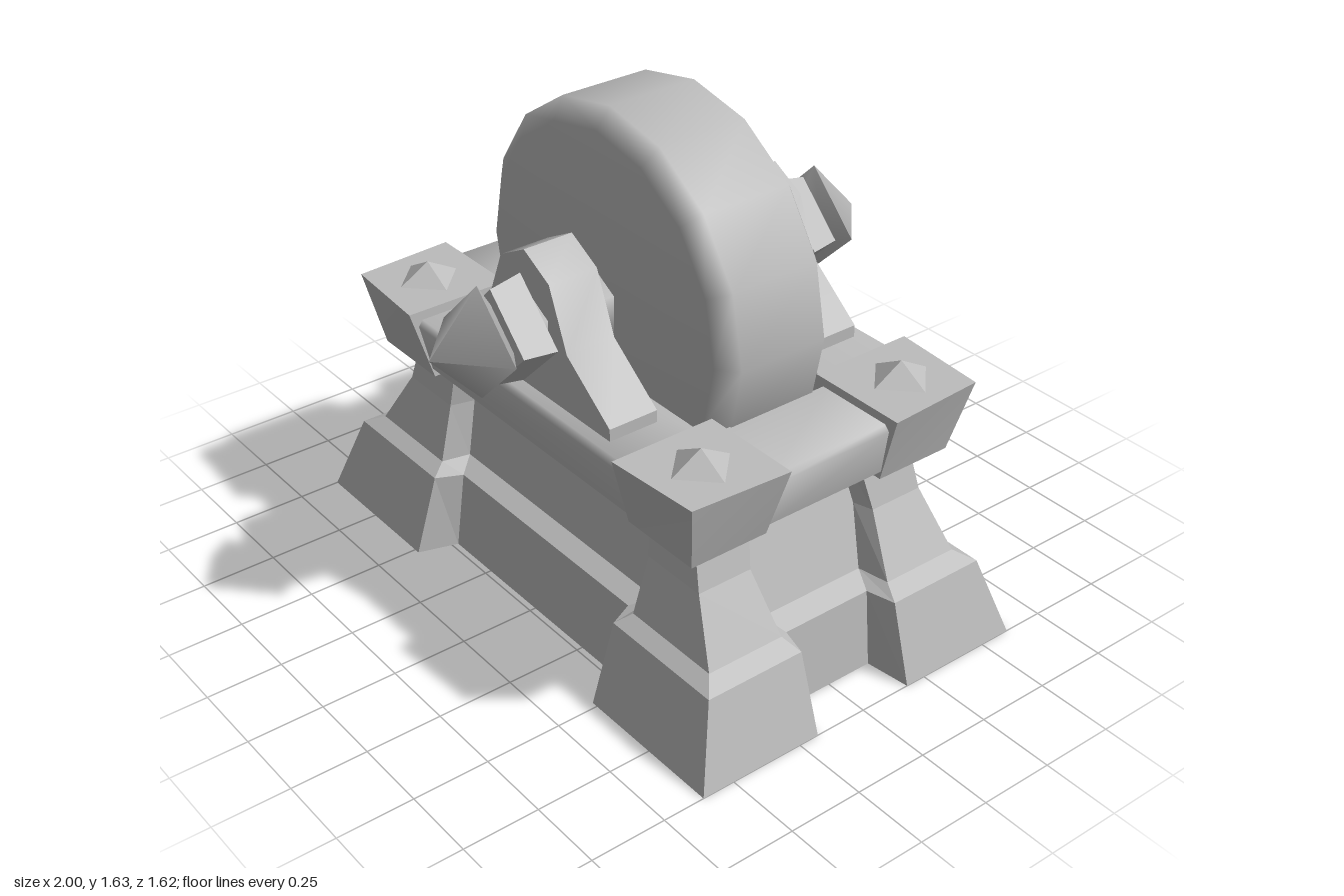
import * as THREE from 'three';
import { toCreasedNormals } from 'three/addons/utils/BufferGeometryUtils.js';

const stone = new THREE.MeshStandardMaterial({ color: 0xbcbcbc, side: THREE.DoubleSide });
stone.name = 'grey stone';

const AXLE_Y = 1.03;

function add(parent, name, geometry) {
  const mesh = new THREE.Mesh(geometry, stone);
  mesh.name = name;
  parent.add(mesh);
  return mesh;
}

// Outline of the base at one height: four projecting legs with recessed walls between
function baseRing({ y, leg, inner, wall, join }) {
  const corner = [
    [wall[0], join[1]], [leg[0], inner[1]], [leg[0], leg[1]], [inner[0], leg[1]], [join[0], wall[1]],
  ];
  const back = [...corner].reverse();
  return [[1, 1, corner], [-1, 1, back], [-1, -1, corner], [1, -1, back]]
    .flatMap(([sx, sz, pts]) => pts.map(([x, z]) => [x * sx, y, z * sz]));
}

// Flat-faced skin between successive rings
function loft(rings) {
  const pos = [];
  for (let r = 0; r < rings.length - 1; r++) {
    const n = rings[r].length;
    for (let i = 0; i < n; i++) {
      const j = (i + 1) % n;
      const a = rings[r][i], b = rings[r][j], c = rings[r + 1][j], d = rings[r + 1][i];
      pos.push(...a, ...d, ...c, ...a, ...c, ...b);
    }
  }
  const g = new THREE.BufferGeometry();
  g.setAttribute('position', new THREE.Float32BufferAttribute(pos, 3));
  g.computeVertexNormals();
  return g;
}

// Corner block that flares outward toward its top, its outermost corner drawn in a little
function capGeometry(sx, sz) {
  const g = new THREE.BoxGeometry(1, 1, 1);
  const p = g.attributes.position;
  for (let i = 0; i < p.count; i++) {
    const top = p.getY(i) > 0;
    const outX = p.getX(i) * sx > 0, outZ = p.getZ(i) * sz > 0;
    const x = outX ? (top ? (outZ ? 0.845 : 0.865) : 0.79) : (top ? 0.52 : 0.505);
    const z = outZ ? (top ? (outX ? 0.537 : 0.56) : 0.49) : (top ? 0.2 : 0.22);
    p.setXYZ(i, x * sx, top ? 0.86 : 0.62, z * sz);
  }
  g.computeVertexNormals();
  return g;
}

// Rail with a softened upper outer edge; the profile faces +x
function railGeometry(inner, outer, length) {
  const s = new THREE.Shape([
    [inner, 0.65], [outer - 0.035, 0.65], [outer, 0.81], [outer - 0.015, 0.83], [inner, 0.83],
  ].map(([x, y]) => new THREE.Vector2(x, y)));
  const g = new THREE.ExtrudeGeometry(s, { depth: length, bevelEnabled: false });
  return toCreasedNormals(g.translate(0, 0, -length / 2), 1.15);
}

// Turned shape about the z axis from [radius, z] points
function turned(points, sides) {
  return new THREE.LatheGeometry(points.map(([r, z]) => new THREE.Vector2(r, z)), sides).rotateX(Math.PI / 2);
}

export function createModel() {
  const model = new THREE.Group();
  model.name = 'grindstone';

  // Hollow base: stepped plinth and curved legs
  add(model, 'base', loft([
    { y: 0, leg: [1, 0.61], inner: [0.48, 0.18], wall: [0.85, 0.48], join: [0.44, 0.16] },
    { y: 0.26, leg: [0.92, 0.53], inner: [0.48, 0.185], wall: [0.825, 0.445], join: [0.44, 0.16] },
    { y: 0.29, leg: [0.86, 0.48], inner: [0.51, 0.21], wall: [0.755, 0.385], join: [0.49, 0.19] },
    { y: 0.48, leg: [0.75, 0.43], inner: [0.52, 0.24], wall: [0.685, 0.35], join: [0.5, 0.22] },
    { y: 0.66, leg: [0.7, 0.41], inner: [0.5, 0.21], wall: [0.62, 0.315], join: [0.49, 0.2] },
  ].map(baseRing)));

  // Corner caps with pyramid studs
  for (const sx of [-1, 1]) for (const sz of [-1, 1]) {
    add(model, 'cornerCap', capGeometry(sx, sz));
    const stud = new THREE.ConeGeometry(0.105, 0.06, 4, 1, true).toNonIndexed();
    stud.computeVertexNormals();
    add(model, 'stud', stud).position.set(sx * 0.69, 0.89, sz * 0.38);
  }

  // Rails joining the caps
  for (const turn of [0, Math.PI]) {
    add(model, 'sideRail', railGeometry(0.55, 0.83, 0.46)).rotation.y = turn;
    add(model, 'longRail', railGeometry(0.24, 0.53, 1.06)).rotation.y = turn - Math.PI / 2;
  }

  // Wheel
  add(model, 'wheel', turned([
    [0, -0.24], [0.2, -0.237], [0.54, -0.205], [0.605, -0.155],
    [0.605, 0.155], [0.54, 0.205], [0.2, 0.237], [0, 0.24],
  ], 16)).position.set(-0.01, AXLE_Y, 0);

  // Axle
  add(model, 'axle', new THREE.CylinderGeometry(0.127, 0.127, 1.04, 6).rotateX(Math.PI / 2))
    .position.y = AXLE_Y;

  // Bracket, four-sided collar and spike at each end of the axle
  const bracketShape = new THREE.Shape([
    [-0.39, 0.82], [0.4, 0.82], [0.4, 0.87], [0.2, 1.02], [0.12, 1.215],
    [0, 1.28], [-0.12, 1.215], [-0.2, 1.02], [-0.39, 0.87],
  ].map(([x, y]) => new THREE.Vector2(x, y)));
  for (const turn of [0, Math.PI]) {
    const end = new THREE.Group();
    end.name = 'axleEnd';
    end.rotation.y = turn;
    model.add(end);
    const bracket = new THREE.ExtrudeGeometry(bracketShape, { depth: 0.17, bevelEnabled: false });
    add(end, 'bracket', toCreasedNormals(bracket, 0.8)).position.z = 0.305;
    const collar = new THREE.CylinderGeometry(0.16, 0.18, 0.105, 4).rotateX(Math.PI / 2).toNonIndexed();
    collar.computeVertexNormals();
    add(end, 'collar', collar).position.set(0, AXLE_Y, 0.543);
    add(end, 'spikeBack', turned([[0.1, 0.59], [0.187, 0.64]], 4)).position.y = AXLE_Y;
    add(end, 'spike', turned([[0.187, 0.64], [0, 0.812]], 4)).position.y = AXLE_Y;
  }
  return model;
}
